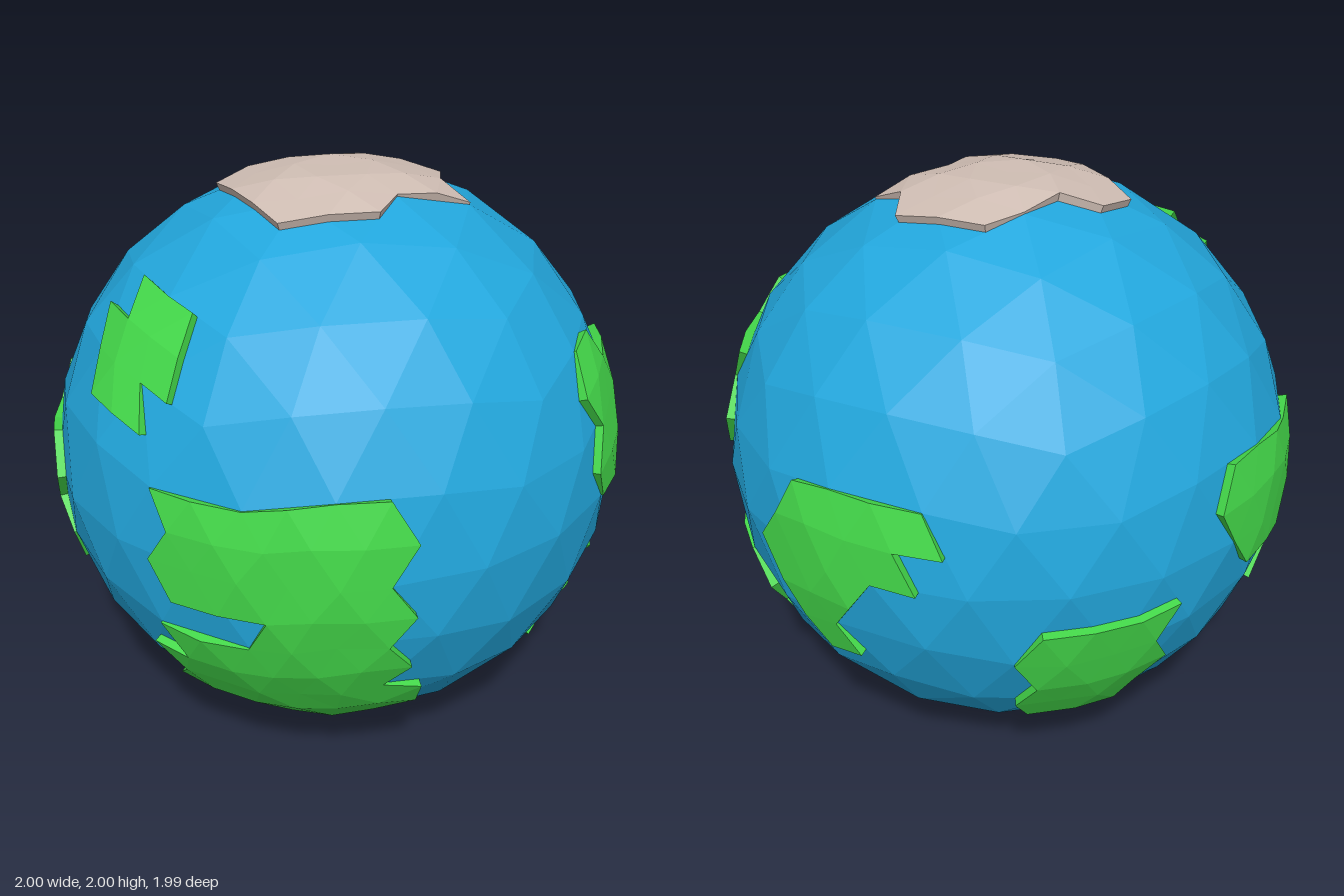
import * as THREE from 'three';

const OCEAN_R = 0.992, LAND_R = 1.0, LAND_MID_R = 1.01, BASE_R = 0.95;

// Icosahedron standing on a vertex, plus midpoint subdivision onto the unit sphere
function icosahedron() {
  const verts = [new THREE.Vector3(0, 1, 0)], faces = [];
  const ring = (y, offset) => {
    for (let i = 0; i < 5; i++) {
      const a = (i * 72 + offset) * Math.PI / 180, r = Math.sqrt(0.8);
      verts.push(new THREE.Vector3(r * Math.cos(a), y, r * Math.sin(a)));
    }
  };
  ring(Math.sqrt(0.2), 0);
  ring(-Math.sqrt(0.2), 36);
  verts.push(new THREE.Vector3(0, -1, 0));
  for (let i = 0; i < 5; i++) {
    const j = (i + 1) % 5, u = 1 + i, u2 = 1 + j, l = 6 + i, l2 = 6 + j;
    faces.push([0, u2, u], [u, u2, l], [l, u2, l2], [11, l, l2]);
  }
  return { verts, faces };
}

function subdivide({ verts, faces }) {
  const out = verts.slice(), cache = new Map(), next = [];
  const mid = (a, b) => {
    const key = Math.min(a, b) + '_' + Math.max(a, b);
    if (!cache.has(key)) {
      cache.set(key, out.length);
      out.push(verts[a].clone().add(verts[b]).normalize());
    }
    return cache.get(key);
  };
  for (const [a, b, c] of faces) {
    const ab = mid(a, b), bc = mid(b, c), ca = mid(c, a);
    next.push([a, ab, ca], [ab, b, bc], [ca, bc, c], [ab, bc, ca]);
  }
  return { verts: out, faces: next };
}

function flatMesh(name, triangles, color) {
  const geo = new THREE.BufferGeometry().setFromPoints(triangles);
  geo.computeVertexNormals();
  const mesh = new THREE.Mesh(geo, new THREE.MeshStandardMaterial({ color, flatShading: true }));
  mesh.name = name;
  return mesh;
}

// Projects onto a plane facing the given azimuth (from +z to +x) and elevation
function projector(azDeg, elDeg) {
  const az = azDeg * Math.PI / 180, el = elDeg * Math.PI / 180;
  const right = new THREE.Vector3(Math.cos(az), 0, -Math.sin(az));
  const dir = new THREE.Vector3(Math.sin(az) * Math.cos(el), Math.sin(el), Math.cos(az) * Math.cos(el));
  const up = dir.clone().cross(right);
  return p => [p.dot(right), p.dot(up), p.dot(dir)];
}

function inside(x, y, poly) {
  let hit = false;
  for (let i = 0, j = poly.length - 1; i < poly.length; j = i++) {
    const [xi, yi] = poly[i], [xj, yj] = poly[j];
    if ((yi > y) !== (yj > y) && x < (xj - xi) * (y - yi) / (yj - yi) + xi) hit = !hit;
  }
  return hit;
}

// Raised plate: the fine faces inside an outline (snapped to the grid), with side walls
function plate(name, color, fine, coarseCount, { view, outline }) {
  const project = projector(...view);
  const flat = fine.verts.map(project);
  const snapped = outline.map(([x, y]) => {
    let best = null, bestD = Infinity;
    for (const q of flat) {
      const d = (q[0] - x) ** 2 + (q[1] - y) ** 2;
      if (q[2] > 0 && d < bestD) { bestD = d; best = q; }
    }
    return best;
  });
  const chosen = fine.faces.filter(f => {
    const c = [0, 1, 2].map(k => (flat[f[0]][k] + flat[f[1]][k] + flat[f[2]][k]) / 3);
    return c[2] > 0 && inside(c[0], c[1], snapped);
  });
  const top = i => fine.verts[i].clone().multiplyScalar(i < coarseCount ? LAND_R : LAND_MID_R);
  const base = i => fine.verts[i].clone().multiplyScalar(BASE_R);
  const edges = new Set(), tris = [];
  for (const f of chosen) {
    tris.push(...f.map(top));
    f.forEach((a, k) => edges.add(a + '_' + f[(k + 1) % 3]));
  }
  for (const e of edges) {
    const [a, b] = e.split('_').map(Number);
    if (edges.has(b + '_' + a)) continue;
    tris.push(top(a), base(a), base(b), top(a), base(b), top(b));
  }
  return flatMesh(name, tris, color);
}

const CAPS = {
  northIceCap: { view: [0, 90], outline: [
    [-0.33, 0.23], [-0.17, 0.29], [-0.07, 0.21], [0.22, 0.25], [0.4, 0], [0.31, -0.14],
    [0.36, -0.26], [0.085, -0.26], [-0.035, -0.33], [-0.33, -0.23]] },
  southIceCap: { view: [0, -90], outline: [
    [0.33, 0.24], [0.33, -0.24], [0.035, -0.33], [-0.085, -0.26], [-0.22, -0.25], [-0.3, -0.135],
    [-0.275, 0], [-0.3, 0.135], [-0.36, 0.26], [-0.22, 0.25], [-0.125, 0.38]] },
};

const LANDS = {
  frontLargeContinent: { view: [0, 0], outline: [
    [-0.877, 0.25], [-0.294, 0.273], [-0.225, 0.144], [-0.305, 0.01], [-0.235, -0.12], [-0.3, -0.246],
    [-0.23, -0.342], [-0.294, -0.417], [-0.144, -0.46], [-0.134, -0.57], [-0.246, -0.658],
    [-0.46, -0.706], [-0.6, -0.626], [-0.75, -0.604], [-0.877, -0.273], [-0.684, -0.273],
    [-0.647, -0.134], [-0.856, -0.134], [-0.898, 0], [-0.86, 0.12]] },
  frontSmallContinent: { view: [0, 0], outline: [
    [0.48, 0.497], [0.604, 0.51], [0.684, 0.4], [0.866, 0.396], [0.925, 0.187], [0.898, 0.01],
    [0.594, 0.01], [0.52, 0.118], [0.567, 0.262], [0.465, 0.38]] },
  lowerSideContinent: { view: [90, 0], outline: [
    [-0.615, -0.348], [-0.49, -0.342], [-0.455, -0.24], [-0.16, -0.267], [-0.09, -0.385], [-0.155, -0.5],
    [-0.09, -0.615], [-0.235, -0.775], [-0.455, -0.743], [-0.615, -0.615], [-0.55, -0.492]] },
  crescentContinent: { view: [90, 0], outline: [
    [0.155, 0], [0.29, 0.26], [0.71, 0.27], [0.765, 0.14], [0.65, 0.14], [0.71, 0],
    [0.6, 0], [0.42, -0.25], [0.487, -0.35], [0.375, -0.375]] },
  upperIsland: { view: [0, 90], outline: [
    [-0.91, -0.08], [-0.77, 0.08], [-0.77, -0.08], [-0.68, 0], [-0.67, -0.16], [-0.64, -0.3],
    [-0.78, -0.4], [-0.82, -0.27], [-0.86, -0.36]] },
  backLargeContinent: { view: [217, 26.5], outline: [
    [-0.36, -0.25], [-0.28, -0.145], [0.3, -0.17], [0.38, -0.27], [0.655, -0.195], [0.71, -0.3],
    [0.65, -0.415], [0.695, -0.54], [0.615, -0.655], [0.38, -0.705], [0.305, -0.605], [0.38, -0.51],
    [0.25, -0.53], [0.305, -0.605], [0.21, -0.725], [0.07, -0.73], [0.16, -0.61], [0.085, -0.54],
    [-0.22, -0.515]] },
  backSmallContinent: { view: [140, -30], outline: [
    [0.285, 0.36], [0.68, 0.25], [0.61, 0.11], [0.65, 0], [0.575, -0.1], [0.6, -0.17],
    [0.515, -0.33], [0.495, -0.2], [0.175, -0.135], [0.25, 0.075], [0.2, 0.23]] },
};

export function createModel() {
  const globe = new THREE.Group();
  globe.name = 'globe';
  const coarse = subdivide(subdivide(icosahedron()));
  const fine = subdivide(coarse);

  // Faceted ocean ball
  const ocean = coarse.faces.flatMap(f => f.map(i => coarse.verts[i].clone().multiplyScalar(OCEAN_R)));
  globe.add(flatMesh('ocean', ocean, 0x22a7dd));

  // Ice caps and continents
  const addAll = (set, color) => {
    for (const [name, spec] of Object.entries(set)) {
      globe.add(plate(name, color, fine, coarse.verts.length, spec));
    }
  };
  addAll(CAPS, 0xd0beb4);
  addAll(LANDS, 0x44d94a);

  globe.position.y = 1;
  const model = new THREE.Group();
  model.name = 'lowPolyGlobe';
  model.add(globe);
  return model;
}
